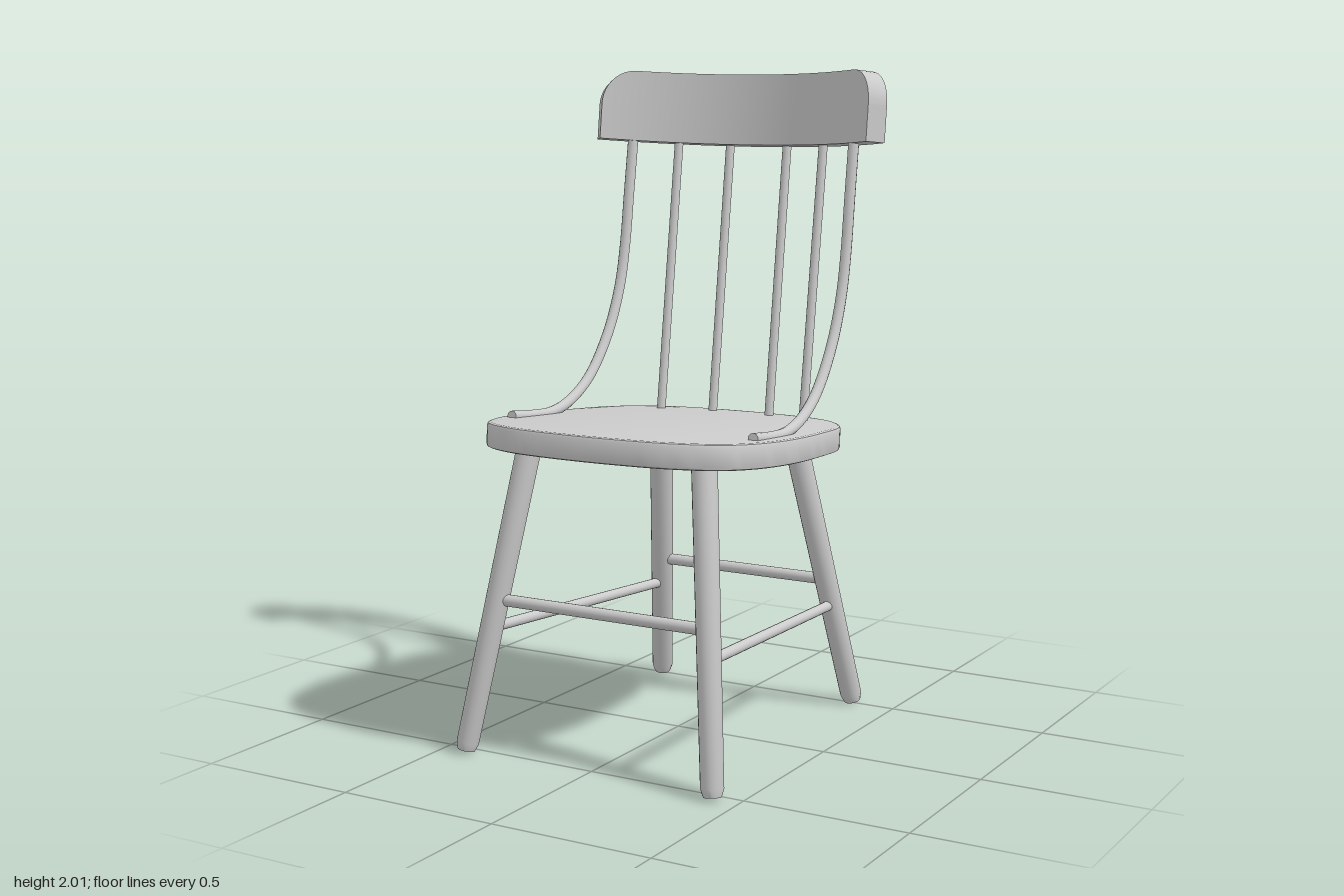
import * as THREE from 'three';
import { toCreasedNormals } from 'three/addons/utils/BufferGeometryUtils.js';

const material = new THREE.MeshStandardMaterial({ color: 0xcccccc });
const V = (x, y, z) => new THREE.Vector3(x, y, z);

function add(group, name, geometry) {
  const mesh = new THREE.Mesh(geometry, material);
  mesh.name = name;
  group.add(mesh);
  return mesh;
}

// Round rod between two points
function rod(group, name, a, b, radius) {
  const dir = b.clone().sub(a);
  const mesh = add(group, name, new THREE.CylinderGeometry(radius, radius, dir.length(), 16));
  mesh.position.copy(a).add(b).multiplyScalar(0.5);
  mesh.quaternion.setFromUnitVectors(V(0, 1, 0), dir.normalize());
}

// Leg with a bevelled foot, turned around the line from foot to top
function leg(group, name, foot, top) {
  const dir = top.clone().sub(foot);
  const profile = [[0, 0], [0.026, 0], [0.034, 0.024], [0.038, dir.length()], [0, dir.length()]]
    .map(([r, y]) => new THREE.Vector2(r, y));
  const mesh = add(group, name, toCreasedNormals(new THREE.LatheGeometry(profile, 16), 0.5));
  mesh.position.copy(foot);
  mesh.quaternion.setFromUnitVectors(V(0, 1, 0), dir.normalize());
}

// Rounded seat board, higher at the front
function seat(group) {
  const half = [[0.14, 0.552], [0.27, 0.527], [0.39, 0.458], [0.445, 0.36], [0.468, 0.24], [0.469, 0.1],
    [0.452, -0.06], [0.425, -0.22], [0.385, -0.31], [0.32, -0.385], [0.22, -0.435], [0.1, -0.455]];
  const loop = [[0, 0.56], ...half, [0, -0.46], ...half.map(([x, z]) => [-x, z]).reverse()]
    .map(([x, z]) => V(x, -z, 0));
  const points = new THREE.CatmullRomCurve3(loop, true).getPoints(96).slice(0, -1);
  const shape = new THREE.Shape(points.map((p) => new THREE.Vector2(p.x, p.y)));
  const bevel = 0.01;
  const geometry = new THREE.ExtrudeGeometry(shape, {
    depth: 0.075 - 2 * bevel, bevelThickness: bevel, bevelSize: bevel, bevelOffset: -bevel, bevelSegments: 2,
  });
  geometry.translate(0, 0, bevel).rotateX(-Math.PI / 2);
  const mesh = add(group, 'seat', toCreasedNormals(geometry, 0.6));
  mesh.position.set(0.006, 0.875, 0);
  mesh.rotation.x = -0.065;
}

// Curved, backward-leaning top rail with rounded upper corners
function crestRail(group) {
  const geometry = new THREE.BoxGeometry(2, 1, 1, 48, 1, 1);
  const p = geometry.attributes.position;
  const middle = 0.768, thickness = 0.062, halfAngle = 0.69, height = 0.222, corner = 0.11;
  for (let i = 0; i < p.count; i++) {
    const s = Math.sin(p.getX(i) * Math.PI / 2);
    const intoCorner = Math.max(0, corner - (1 - Math.abs(s)) * halfAngle * middle);
    const top = height - corner + Math.sqrt(Math.max(0, corner ** 2 - intoCorner ** 2));
    const radius = middle - p.getZ(i) * thickness;
    const angle = s * halfAngle;
    p.setXYZ(i, radius * Math.sin(angle), p.getY(i) > 0 ? top : 0, middle - radius * Math.cos(angle));
  }
  geometry.computeVertexNormals();
  const mesh = add(group, 'crestRail', geometry);
  mesh.position.set(0, 1.768, -0.505);
  mesh.rotation.x = -0.12;
}

export function createModel() {
  const chair = new THREE.Group();
  chair.name = 'chair';
  seat(chair);
  crestRail(chair);

  for (const side of [1, -1]) {
    const label = side > 0 ? 'left' : 'right';
    leg(chair, label + 'FrontLeg', V(side * 0.42, 0, 0.535), V(side * 0.293, 0.93, 0.36));
    leg(chair, label + 'BackLeg', V(side * 0.355, 0, -0.505), V(side * 0.24, 0.88, -0.305));
    rod(chair, label + 'SideStretcher', V(side * 0.37, 0.366, 0.465), V(side * 0.312, 0.327, -0.43), 0.016);

    // Back spindles
    rod(chair, label + 'InnerSpindle', V(side * 0.102, 0.9, -0.393), V(side * 0.102, 1.8, -0.512), 0.014);
    rod(chair, label + 'OuterSpindle', V(side * 0.256, 0.9, -0.327), V(side * 0.258, 1.8, -0.452), 0.014);

    // Bent arm sweeping from the seat up to the crest rail
    const path = [[0.411, 0.973, 0.29], [0.408, 0.962, 0.18], [0.405, 0.96, 0.08], [0.403, 0.984, -0.02],
      [0.4, 1.05, -0.13], [0.397, 1.18, -0.237], [0.395, 1.32, -0.303], [0.394, 1.45, -0.335],
      [0.393, 1.62, -0.36], [0.392, 1.8, -0.387]].map(([x, y, z]) => V(side * x, y, z));
    const curve = new THREE.CatmullRomCurve3(path);
    add(chair, label + 'Arm', new THREE.TubeGeometry(curve, 60, 0.0165, 12));
    const cap = add(chair, label + 'ArmEnd', new THREE.CircleGeometry(0.0165, 12));
    cap.position.copy(path[0]);
    cap.lookAt(path[0].clone().sub(curve.getTangent(0)));
  }

  // Cross stretchers
  rod(chair, 'frontStretcher', V(-0.355, 0.45, 0.45), V(0.355, 0.45, 0.45), 0.018);
  rod(chair, 'backStretcher', V(-0.3, 0.412, -0.411), V(0.3, 0.412, -0.411), 0.018);
  return chair;
}
